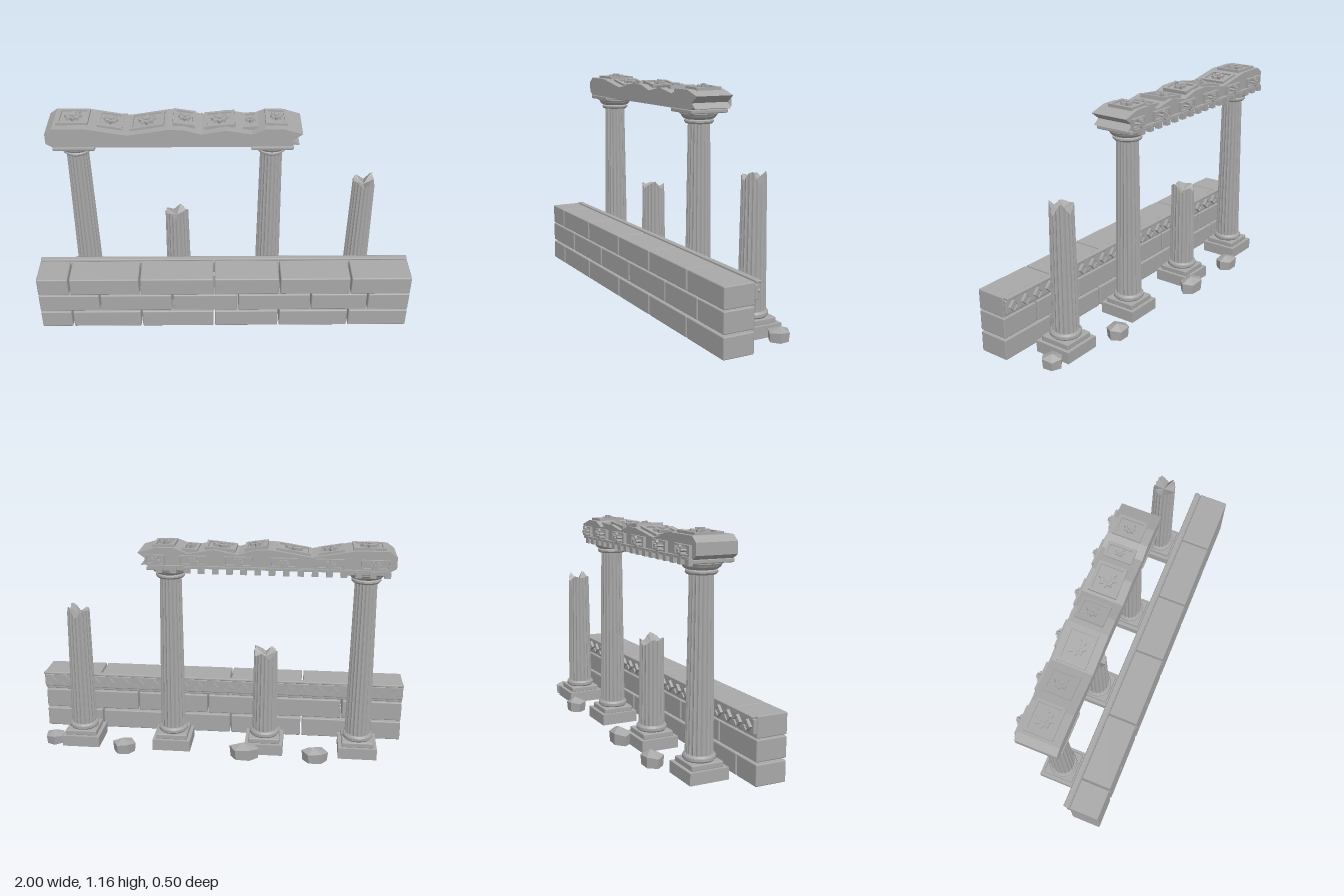
import * as THREE from 'three';
import { RoundedBoxGeometry } from 'three/addons/geometries/RoundedBoxGeometry.js';
import { ConvexGeometry } from 'three/addons/geometries/ConvexGeometry.js';

const stone = new THREE.MeshStandardMaterial({ color: 0xa8a8a8 });
stone.name = 'weathered stone';

const COLUMN_Z = -0.068;
const BEAM_BACK = -0.175;

function add(parent, name, geometry, x = 0, y = 0, z = 0) {
  const mesh = new THREE.Mesh(geometry, stone);
  mesh.name = name;
  mesh.position.set(x, y, z);
  parent.add(mesh);
  return mesh;
}

function flat(geometry) {
  const g = geometry.index ? geometry.toNonIndexed() : geometry;
  g.computeVertexNormals();
  return g;
}

const extrude = (shape, depth) => new THREE.ExtrudeGeometry(shape, { depth, bevelEnabled: false });

function lathe(points) {
  return flat(new THREE.LatheGeometry(points.map(([r, y]) => new THREE.Vector2(r, y)), 32));
}

// Linear interpolation through [position, value] pairs
function sample(keys, t) {
  let i = 0;
  while (i < keys.length - 2 && t > keys[i + 1][0]) i++;
  const [a, b] = [keys[i], keys[i + 1]];
  return a[1] + (b[1] - a[1]) * (t - a[0]) / (b[0] - a[0]);
}

function polygon(points) {
  return new THREE.Shape(points.map(([x, y]) => new THREE.Vector2(x, y)));
}

function rectangle(w, h) {
  return polygon([[-w / 2, -h / 2], [w / 2, -h / 2], [w / 2, h / 2], [-w / 2, h / 2]]);
}

function frame(w, h, border, depth) {
  const shape = rectangle(w, h);
  shape.holes.push(rectangle(w - 2 * border, h - 2 * border));
  return extrude(shape, depth);
}

function star(radius, depth) {
  const points = [];
  for (let i = 0; i < 16; i++) {
    const r = i % 2 ? radius * 0.66 : radius;
    points.push([r * Math.cos(i * Math.PI / 8), r * Math.sin(i * Math.PI / 8)]);
  }
  return extrude(polygon(points), depth);
}

// Fluted shaft; a broken one gets a jagged rim around a sunken core
function shaft(top, jagged) {
  const bottom = 0.115, height = top - bottom, segments = 60;
  const rTop = 0.068 - 0.011 * height / 0.845;
  const g = new THREE.CylinderGeometry(rTop, 0.068, height, segments, 1);
  const p = g.attributes.position;
  for (let i = 0; i < p.count; i++) {
    const x = p.getX(i), z = p.getZ(i), upper = p.getY(i) > 0;
    const turn = (Math.atan2(x, z) / (2 * Math.PI) + 1) % 1;
    const step = Math.round(turn * segments) % 3;
    const groove = step === 0 ? 1 : 0.925;
    p.setX(i, x * groove);
    p.setZ(i, z * groove);
    if (upper && jagged) {
      const drop = Math.hypot(x, z) < 0.01 ? -0.055 : sample(jagged, turn);
      p.setY(i, p.getY(i) + drop);
    }
  }
  g.translate(0, bottom + height / 2, 0);
  return flat(g);
}

function column(x, top, jagged) {
  const group = new THREE.Group();
  group.name = jagged ? 'brokenColumn' : 'column';
  group.position.set(x, 0, COLUMN_Z);
  add(group, 'plinth', new THREE.BoxGeometry(0.204, 0.06, 0.204), 0, 0.03);
  add(group, 'plinthStep', new RoundedBoxGeometry(0.168, 0.03, 0.168, 1, 0.006), 0, 0.072);
  add(group, 'baseRing', lathe([[0, 0.084], [0.07, 0.084], [0.079, 0.094], [0.079, 0.108], [0.072, 0.118], [0, 0.118]]));
  add(group, 'shaft', shaft(top, jagged));
  if (!jagged) {
    add(group, 'capital', lathe([[0, 0.954], [0.068, 0.954], [0.075, 0.962], [0.075, 0.97],
      [0.068, 0.976], [0.078, 0.98], [0.088, 0.99], [0.093, 1.0], [0.1, 1.004], [0.1, 1.012], [0, 1.012]]));
    add(group, 'abacus', new RoundedBoxGeometry(0.214, 0.02, 0.214, 1, 0.005), 0, 1.02);
  }
  return group;
}

// Three courses of blocks with staggered joints
function wall() {
  const group = new THREE.Group();
  group.name = 'wall';
  const outer = [-1, -0.83, -0.452, -0.055, 0.297, 0.677, 1];
  const middle = [-1, -0.672, -0.28, 0.073, 0.468, 0.775, 1];
  [[0.002, outer], [0.118, middle], [0.23, outer]].forEach(([y, joints]) => {
    for (let i = 0; i < joints.length - 1; i++) {
      const a = joints[i] + (i ? 0.004 : 0);
      const b = joints[i + 1] - (i < joints.length - 2 ? 0.004 : 0);
      add(group, 'wallBlock', new RoundedBoxGeometry(b - a, 0.106, 0.162, 1, 0.006), (a + b) / 2, y + 0.053, 0.169);
    }
  });
  // Ornamental band on the back of the top course
  add(group, 'bandTopRail', new RoundedBoxGeometry(2, 0.014, 0.03, 1, 0.005), 0, 0.334, 0.07);
  add(group, 'bandPlate', new RoundedBoxGeometry(2, 0.074, 0.02, 1, 0.006), 0, 0.287, 0.079);
  for (let i = 0; i < 24; i++) {
    const x = -0.958 + i * 0.0833;
    const diamond = add(group, 'diamond', frame(0.042, 0.042, 0.006, 0.018), x, 0.287, 0.054);
    diamond.rotation.z = Math.PI / 4;
    const core = add(group, 'diamondCore', new THREE.BoxGeometry(0.03, 0.03, 0.01), x, 0.287, 0.066);
    core.rotation.z = Math.PI / 4;
  }
  return group;
}

function beam() {
  const group = new THREE.Group();
  group.name = 'beam';
  const top = [[-0.893, 1.107], [-0.856, 1.134], [-0.695, 1.134], [-0.48, 1.096], [-0.283, 1.128], [-0.2, 1.126],
    [-0.11, 1.1], [0.01, 1.123], [0.14, 1.1], [0.21, 1.128], [0.3, 1.128], [0.395, 1.1]];
  const outline = [...top, [0.345, 1.064], [0.38, 1.037], [0.355, 1.04], [0.33, 1.028], [-0.856, 1.028], [-0.893, 1.05]];
  add(group, 'wornBeam', extrude(polygon(outline), 0.209), 0, 0, BEAM_BACK);

  // Framed stars lying along the worn top
  const panels = [[-0.76, 0.16], [-0.573, 0.13], [-0.385, 0.175], [-0.2, 0.115], [-0.02, 0.155], [0.135, 0.08], [0.265, 0.11]];
  panels.forEach(([x, w]) => {
    const left = sample(top, x - w * 0.4), right = sample(top, x + w * 0.4);
    const panel = new THREE.Group();
    panel.name = 'topPanel';
    panel.position.set(x, Math.max((left + right) / 2, sample(top, x)), -0.08);
    panel.rotation.z = Math.atan2(right - left, w * 0.8);
    const r = Math.min(0.046, w * 0.29);
    const parts = [add(panel, 'panelFrame', frame(w, 0.146, 0.015, 0.02), 0, -0.008),
      add(panel, 'panelFloor', extrude(rectangle(w - 0.02, 0.126), 0.008), 0, -0.005),
      add(panel, 'panelStar', star(r, 0.016), 0, 0.003),
      add(panel, 'starCentre', star(r * 0.5, 0.008), 0, 0.018)];
    parts.forEach((part) => { part.rotation.x = -Math.PI / 2; });
    group.add(panel);
  });

  // Back face: rail, framed rosettes and hanging dentils
  add(group, 'backRail', new THREE.BoxGeometry(1.2, 0.012, 0.02), -0.26, 1.035, BEAM_BACK - 0.008);
  [-0.79, -0.567, -0.34, -0.113, 0.112, 0.305].forEach((x) => {
    const w = x > 0.2 ? 0.1 : 0.14;
    add(group, 'backFrame', frame(w, 0.05, 0.008, 0.018), x, 1.068, BEAM_BACK - 0.016);
    add(group, 'rosette', star(0.025, 0.03), x, 1.067, BEAM_BACK - 0.028);
    add(group, 'rosetteCentre', star(0.013, 0.01), x, 1.067, BEAM_BACK - 0.037);
  });
  for (let i = 0; i < 17; i++) {
    add(group, 'dentil', new THREE.BoxGeometry(0.032, 0.03, 0.024), -0.849 + i * 0.0708, 1.019, BEAM_BACK - 0.009);
  }
  return group;
}

// Low faceted boulder with an off-centre peak
function rock(x, z, rx, rz, h, turn) {
  const points = [new THREE.Vector3(rx * 0.15, h, -rz * 0.1)];
  for (let i = 0; i < 6; i++) {
    const a = turn + i * Math.PI / 3;
    const c = Math.cos(a) * rx, s = Math.sin(a) * rz;
    points.push(new THREE.Vector3(c * 0.92, 0, s * 0.92),
      new THREE.Vector3(c, h * (i % 2 ? 0.62 : 0.72), s));
  }
  return [new ConvexGeometry(points), x, 0, z];
}

export function createModel() {
  const model = new THREE.Group();
  model.name = 'ruinedColonnade';
  model.add(wall(), beam());

  // Rim drops by fraction of a turn, from the front towards +x
  const shortRim = [[0, -0.045], [0.1, -0.02], [0.2, 0], [0.32, -0.05], [0.45, -0.02], [0.55, -0.055], [0.7, -0.02], [0.8, -0.03], [0.92, -0.015], [1, -0.045]];
  const tallRim = [[0, -0.05], [0.08, -0.01], [0.14, 0], [0.23, -0.07], [0.36, 0], [0.48, -0.06], [0.62, -0.02], [0.75, -0.03], [0.88, -0.02], [1, -0.05]];
  model.add(column(-0.755, 0.96), column(0.245, 0.96));
  model.add(column(-0.255, 0.585, shortRim), column(0.745, 0.783, tallRim));

  [[0.497, -0.192, 0.062, 0.054, 0.078, 0], [0.9, -0.116, 0.052, 0.055, 0.07, 0.4],
    [-0.53, -0.2, 0.07, 0.054, 0.078, 0], [-0.155, -0.2, 0.08, 0.054, 0.086, 0.1]]
    .forEach((r) => add(model, 'rock', ...rock(...r)));
  return model;
}
